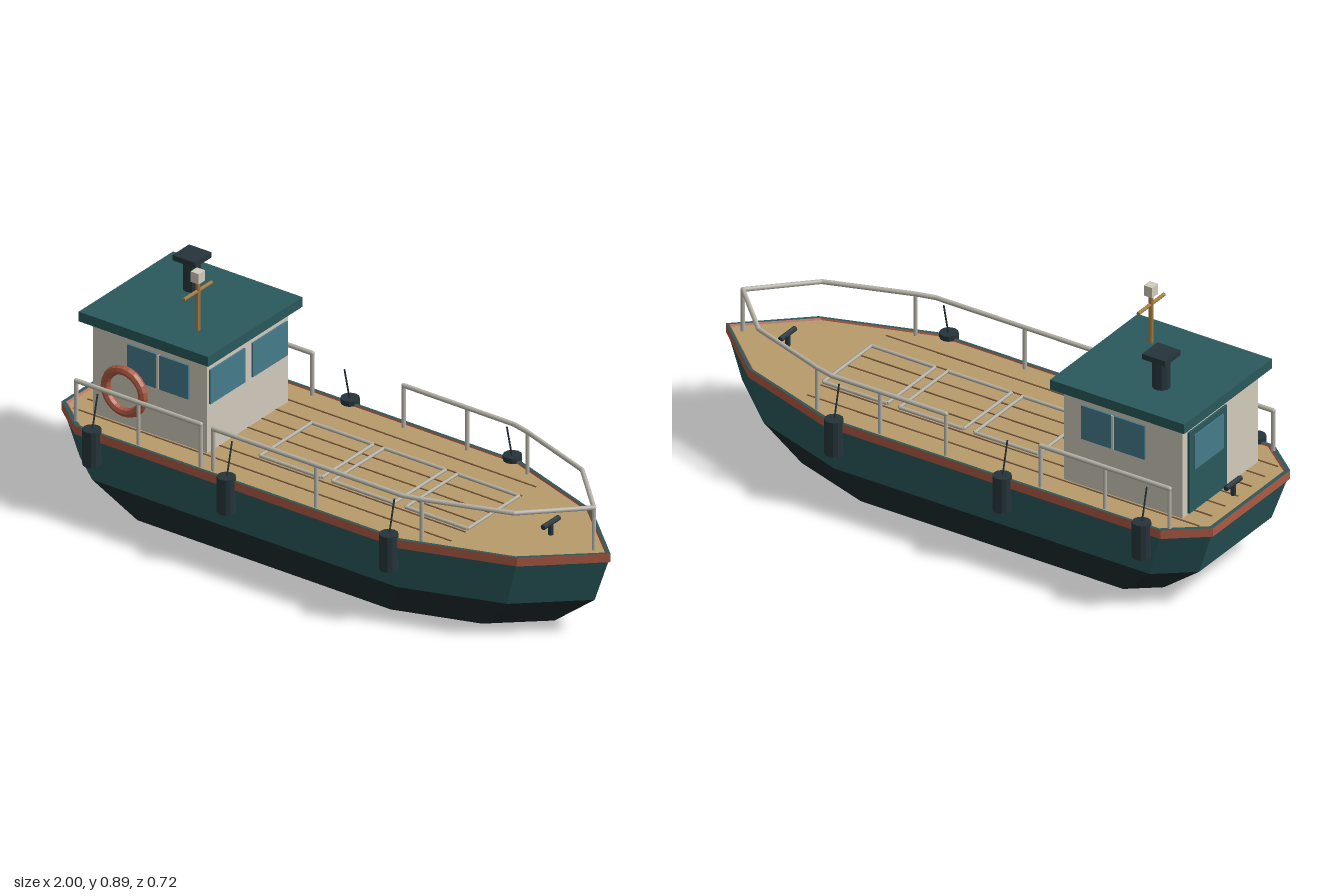
import * as THREE from 'three';

const mat = (name, color, extra = {}) => {
  const m = new THREE.MeshStandardMaterial({ color, ...extra });
  m.name = name;
  return m;
};

export function createModel() {
  const flat = { flatShading: true };
  const teal = mat('tealPaint', 0x2a595c, flat);
  const keel = mat('bottomPaint', 0x1e2a2e, flat);
  const rust = mat('rustPaint', 0xad5a42, flat);
  const planks = mat('deckWood', 0xb89b6c, flat);
  const seam = mat('seamBrown', 0x6b4e35, flat);
  const cream = mat('cabinCream', 0xd2ccbc, flat);
  const glass = mat('windowGlass', 0x457c8b, flat);
  const metal = mat('railMetal', 0xb9b6aa);
  const dark = mat('darkRubber', 0x26353b, flat);
  const spar = mat('sparWood', 0xa17a40, flat);

  const boat = new THREE.Group();
  boat.name = 'workboat';

  const add = (name, geo, material, x = 0, y = 0, z = 0, parent = boat) => {
    const m = new THREE.Mesh(geo, material);
    m.name = name;
    m.position.set(x, y, z);
    parent.add(m);
    return m;
  };
  // box given by its extents
  const block = (name, material, x0, x1, y0, y1, z0, z1, parent = boat) =>
    add(name, new THREE.BoxGeometry(x1 - x0, y1 - y0, z1 - z0), material,
      (x0 + x1) / 2, (y0 + y1) / 2, (z0 + z1) / 2, parent);
  // round bar between two points
  const bar = (name, material, a, b, r, parent = boat, sides = 8) => {
    const p = new THREE.Vector3(...a), q = new THREE.Vector3(...b);
    const d = q.clone().sub(p);
    const m = add(name, new THREE.CylinderGeometry(r, r, d.length(), sides), material,
      ...p.clone().add(q).multiplyScalar(0.5).toArray(), parent);
    m.quaternion.setFromUnitVectors(new THREE.Vector3(0, 1, 0), d.normalize());
    return m;
  };

  // Hull plan, counter-clockwise from above; levels are [y, x scale, z scale]
  const plan = [[1, 0], [0.78, -0.2], [0.41, -0.325], [-0.87, -0.325], [-1, -0.22],
    [-1, 0.22], [-0.87, 0.325], [0.41, 0.325], [0.78, 0.2]];
  const loft = (levels, capBottom = false, capTop = false) => {
    const pos = [], idx = [], n = plan.length;
    for (const [y, sx, sz] of levels) for (const [x, z] of plan) pos.push(x * sx, y, z * sz);
    for (let l = 0; l + 1 < levels.length; l++) {
      for (let i = 0; i < n; i++) {
        const a = l * n + i, b = l * n + (i + 1) % n;
        idx.push(a, b, b + n, a, b + n, a + n);
      }
    }
    const t = (levels.length - 1) * n;
    for (let i = 1; i < n - 1; i++) {
      if (capBottom) idx.push(0, i + 1, i);
      if (capTop) idx.push(t, t + i, t + i + 1);
    }
    const g = new THREE.BufferGeometry();
    g.setAttribute('position', new THREE.Float32BufferAttribute(pos, 3));
    g.setIndex(idx);
    const out = g.toNonIndexed();
    out.computeVertexNormals();
    return out;
  };
  add('hullBottom', loft([[0, 0.78, 0.77], [0.125, 0.938, 0.938]], true), keel);
  add('hullSides', loft([[0.125, 0.938, 0.938], [0.28, 0.992, 0.99]]), teal);
  add('rubbingBand', loft([[0.28, 0.992, 0.99], [0.28, 1, 1], [0.311, 1, 1]]), rust);
  add('gunwaleTop', loft([[0.311, 1, 1], [0.311, 0.987, 0.97]]), teal);
  add('innerBand', loft([[0.311, 0.987, 0.97], [0.305, 0.98, 0.962]]), rust);
  add('deck', loft([[0.305, 0.98, 0.962]], false, true), planks);

  // Plank seams
  for (let i = -3; i <= 3; i++) {
    const z = i * 0.075;
    block('deckSeam', seam, -0.95, 0.54, 0.304, 0.3065, z - 0.003, z + 0.003);
  }

  // Hatch frames on the deck
  for (const x0 of [-0.28, 0.005, 0.295]) {
    const hatch = new THREE.Group();
    hatch.name = 'hatchFrame';
    boat.add(hatch);
    const x1 = x0 + 0.243, y = 0.311;
    for (const z of [-0.137, 0.137]) bar('hatchEdge', metal, [x0, y, z], [x1, y, z], 0.006, hatch, 6);
    for (const x of [x0, x1]) bar('hatchEdge', metal, [x, y, -0.137], [x, y, 0.137], 0.006, hatch, 6);
  }

  // Wheelhouse
  const cabin = new THREE.Group();
  cabin.name = 'wheelhouse';
  boat.add(cabin);
  block('cabinWalls', cream, -0.88, -0.43, 0.3, 0.64, -0.215, 0.215, cabin);
  block('roof', teal, -0.91, -0.4, 0.64, 0.675, -0.25, 0.25, cabin);
  for (const s of [-1, 1]) {
    const c = s * 0.1125;
    block('frontWindow', glass, -0.431, -0.424, 0.478, 0.6, c - 0.0925, c + 0.0925, cabin);
    const z = s * 0.218;
    block('sideWindow', glass, -0.74, -0.5, 0.478, 0.6, z - 0.004, z + 0.004, cabin);
    block('windowDivider', cream, -0.624, -0.614, 0.478, 0.6, z - 0.006, z + 0.006, cabin);
  }
  block('door', teal, -0.887, -0.879, 0.31, 0.605, -0.185, 0.03, cabin);
  block('doorWindow', glass, -0.891, -0.884, 0.46, 0.585, -0.16, 0.005, cabin);

  // Funnel, mast and lamp
  bar('funnel', dark, [-0.715, 0.67, -0.088], [-0.715, 0.785, -0.088], 0.03, cabin, 10);
  block('funnelCap', dark, -0.759, -0.671, 0.781, 0.8, -0.132, -0.044, cabin);
  bar('mast', spar, [-0.535, 0.67, 0.123], [-0.535, 0.855, 0.123], 0.008, cabin);
  bar('mastCrossbar', spar, [-0.535, 0.815, 0.05], [-0.535, 0.815, 0.198], 0.006, cabin);
  block('mastLamp', cream, -0.551, -0.519, 0.85, 0.887, 0.106, 0.14, cabin);

  // Life ring
  add('lifeRing', new THREE.TorusGeometry(0.074, 0.016, 8, 24), rust, -0.735, 0.442, 0.243);

  // Railings: posts plus a top rail along a path of [x, z]
  const railY = 0.455, r = 0.008;
  const railing = (name, path, posts) => {
    const g = new THREE.Group();
    g.name = name;
    boat.add(g);
    path.forEach(([x, z], i) => {
      add('railJoint', new THREE.SphereGeometry(r, 8, 6), metal, x, railY, z, g);
      if (i) bar('topRail', metal, [path[i - 1][0], railY, path[i - 1][1]], [x, railY, z], r, g);
    });
    for (const [x, z] of posts) bar('railPost', metal, [x, 0.303, z], [x, railY, z], 0.007, g);
  };
  for (const [s, xs] of [[1, [-0.345, 0.06, 0.465]], [-1, [-0.035, 0.215, 0.465]]]) {
    const z = s * 0.296;
    const aft = [-0.885, -0.64, -0.395].map(x => [x, z]);
    railing('aftRailing', aft, aft);
    const fore = xs.map(x => [x, x > 0.4 ? s * 0.28 : z]);
    railing('bowRailing', [fore[0], [0.4, z], fore[2], [0.755, s * 0.18], [0.935, 0]], fore);
  }
  bar('bowPost', metal, [0.935, 0.303, 0], [0.935, railY, 0], 0.007);

  // Fenders hung on ropes
  for (const s of [-1, 1]) {
    for (const x of [-0.8, -0.27, 0.37]) {
      bar('fender', dark, [x, 0.197, s * 0.328], [x, 0.323, s * 0.328], 0.031, boat, 12);
      bar('fenderRope', dark, [x, 0.32, s * 0.325], [x, 0.435, s * 0.298], 0.003, boat, 5);
    }
  }

  // Mooring cleats at bow and stern
  for (const x of [0.765, -0.93]) {
    bar('cleatPost', dark, [x, 0.303, 0], [x, 0.347, 0], 0.009);
    bar('cleatBar', dark, [x, 0.347, -0.042], [x, 0.347, 0.042], 0.009);
  }
  return boat;
}
